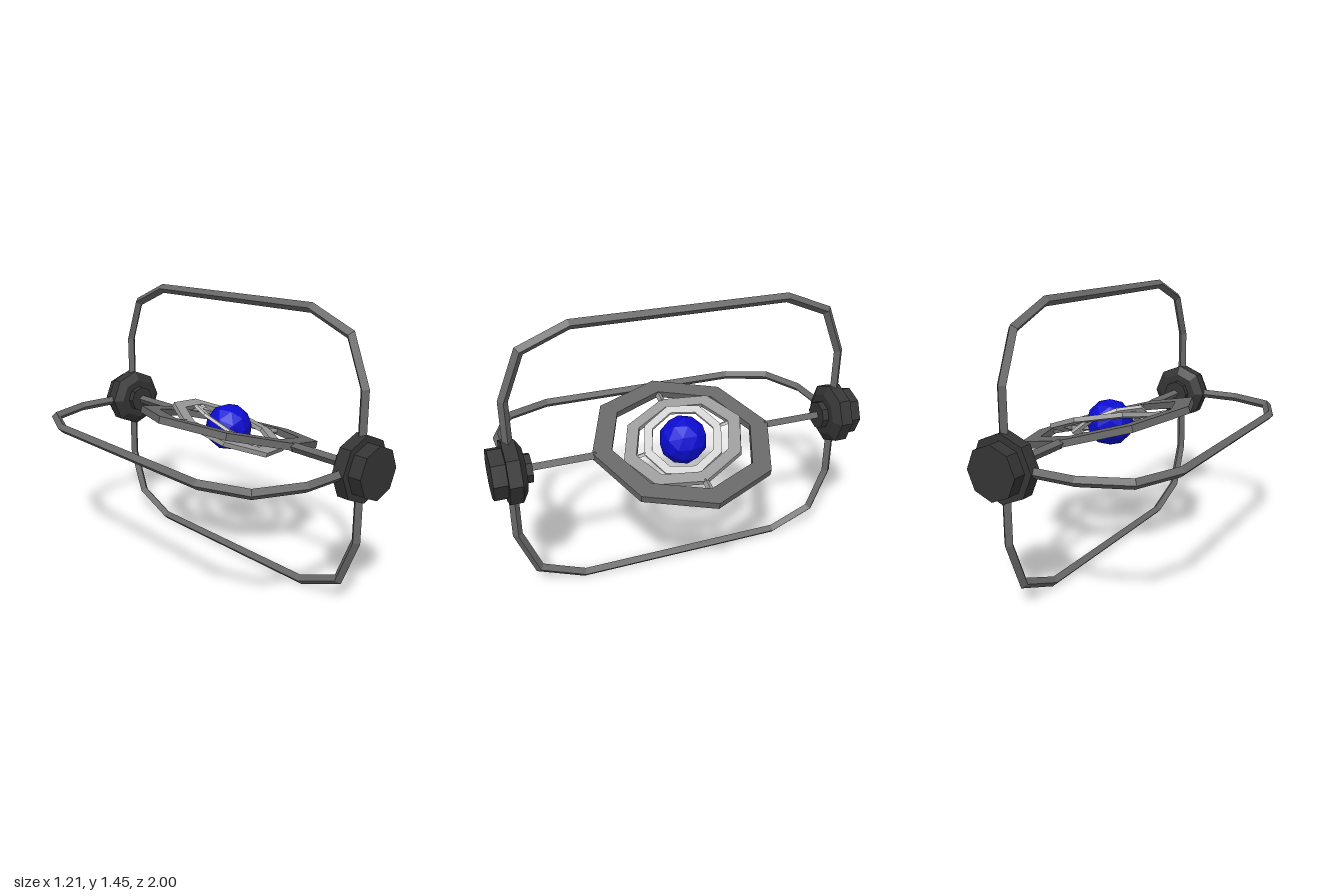
import * as THREE from 'three';

const CENTRE = [0.12, 0.727, 0];
const TILT = Math.PI / 12;

const paint = (name, color) => {
  const m = new THREE.MeshStandardMaterial({ color, flatShading: true });
  m.name = name;
  return m;
};

const add = (parent, name, geometry, material) => {
  const mesh = new THREE.Mesh(geometry, material);
  mesh.name = name;
  parent.add(mesh);
  return mesh;
};

// Mitred diamond-section bar along a [y, z] path lying in the x = 0 plane
function barGeometry(path, half) {
  const pts = path.map(([y, z]) => new THREE.Vector2(y, z));
  const positions = [], index = [];
  pts.forEach((p, i) => {
    const before = p.clone().sub(pts[Math.max(i - 1, 0)]).normalize();
    const after = pts[Math.min(i + 1, pts.length - 1)].clone().sub(p).normalize();
    const t = before.clone().add(after).normalize();
    const mitre = half / Math.max(t.dot(before), t.dot(after));
    for (let k = 0; k < 4; k++) {
      const n = Math.cos(k * Math.PI / 2) * mitre;
      positions.push(Math.sin(k * Math.PI / 2) * half, p.x - t.y * n, p.y + t.x * n);
    }
  });
  for (let i = 0; i < pts.length - 1; i++) {
    for (let k = 0; k < 4; k++) {
      const a = i * 4 + k, b = i * 4 + (k + 1) % 4;
      index.push(a, b, b + 4, a, b + 4, a + 4);
    }
  }
  const g = new THREE.BufferGeometry();
  g.setAttribute('position', new THREE.Float32BufferAttribute(positions, 3));
  g.setIndex(index);
  g.computeVertexNormals();
  return g;
}

// Flat octagonal ring lying in the xz plane
function ringGeometry(outer, inner, thickness) {
  const octagon = (r) => Array.from({ length: 8 }, (_, i) =>
    new THREE.Vector2(Math.cos(i * Math.PI / 4) * r, Math.sin(i * Math.PI / 4) * r));
  const shape = new THREE.Shape(octagon(outer));
  shape.holes.push(new THREE.Path(octagon(inner).reverse()));
  return new THREE.ExtrudeGeometry(shape, { depth: thickness, bevelEnabled: false })
    .translate(0, 0, -thickness / 2).rotateX(-Math.PI / 2);
}

export function createModel() {
  const hubDark = paint('charcoal', 0x353535);
  const frameGrey = paint('dark grey', 0x686868);
  const midGrey = paint('mid grey', 0x9a9a9a);
  const paleGrey = paint('pale grey', 0xcccccc);
  const blue = paint('deep blue', 0x0c0cd2);

  const model = new THREE.Group();
  model.name = 'gimbal';
  const body = new THREE.Group();
  body.name = 'body';
  body.position.set(...CENTRE);
  model.add(body);

  // Three outer frame arms: up, left-hand side and down
  const halfPath = [[0.05, 0.898], [0.37, 0.898], [0.605, 0.803], [0.702, 0.565]];
  const armPath = [...halfPath, ...halfPath.map(([r, z]) => [r, -z]).reverse()];
  const armGeo = barGeometry(armPath, 0.025);
  ['upperArm', 'sideArm', 'lowerArm'].forEach((name, i) => {
    add(body, name, armGeo, frameGrey).rotation.z = i * Math.PI / 2;
  });

  // Stepped octagonal hubs at both ends
  const hubProfile = [[0, 0.8], [0.076, 0.8], [0.076, 0.835], [0.118, 0.835],
    [0.166, 0.865], [0.166, 0.93], [0.132, 0.93], [0.132, 1], [0, 1]];
  const hubGeo = new THREE.LatheGeometry(
    hubProfile.map(([r, y]) => new THREE.Vector2(r, y)), 8).rotateX(Math.PI / 2);
  add(body, 'frontHub', hubGeo, hubDark);
  add(body, 'backHub', hubGeo, hubDark).rotation.y = Math.PI;

  // Nested rings, each two thirds of the one outside and turning on pegs within it
  const rings = [
    { name: 'outerRing', mat: frameGrey, axis: 'z', pegEnd: 0.82, angle: -TILT },
    { name: 'middleRing', mat: midGrey, axis: 'x', pegEnd: 0.385, angle: TILT },
    { name: 'innerRing', mat: paleGrey, axis: 'z', pegEnd: 0.257, angle: -TILT },
  ];
  let parent = body;
  rings.forEach(({ name, mat, axis, pegEnd, angle }, i) => {
    const s = Math.pow(2 / 3, i);
    const group = new THREE.Group();
    group.name = name + 'Group';
    group.rotation[axis] = angle;
    parent.add(group);
    add(group, name, ringGeometry(0.49 * s, 0.387 * s, 0.037 * s), mat);
    const pegGeo = barGeometry([[0, 0.47 * s], [0, pegEnd + 0.005]], 0.025 * s);
    for (const side of [0, 1]) {
      const peg = add(group, name + 'Peg', pegGeo, mat);
      peg.rotation.y = side * Math.PI + (axis === 'x' ? Math.PI / 2 : 0);
    }
    parent = group;
  });

  // Faceted core
  add(body, 'core', new THREE.IcosahedronGeometry(0.128, 1), blue);

  return model;
}
